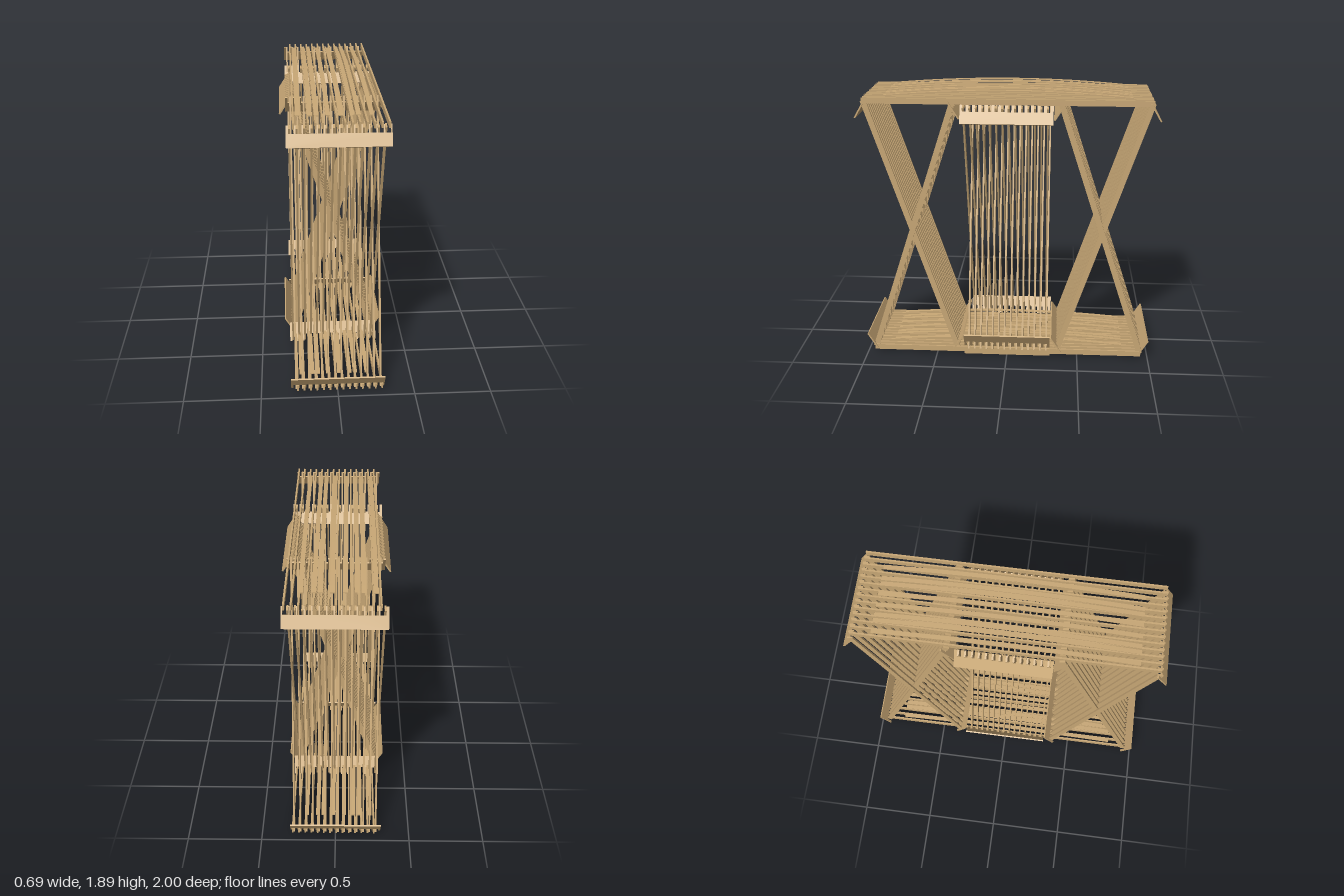
import * as THREE from 'three';

const wood = new THREE.MeshStandardMaterial({ color: 0xc9a876 });
const COUNT = 14, PITCH = 0.0425, START = -0.284, THICK = 0.0115;
const slot = (i, layer) => START + i * PITCH + layer * THICK;

// Box laid between two points of the side plane (z, y), thin along x
function slatGeometry(z0, y0, z1, y1, width) {
  const len = Math.hypot(z1 - z0, y1 - y0);
  const g = new THREE.BoxGeometry(THICK, width, len);
  g.rotateX(-Math.atan2(y1 - y0, z1 - z0));
  g.translate(0, (y0 + y1) / 2, (z0 + z1) / 2);
  return g;
}

// Row of identical parts, one per given x
function row(name, geometry, xs) {
  const group = new THREE.Group();
  group.name = name;
  xs.forEach((x, i) => {
    const m = new THREE.Mesh(geometry, wood);
    m.name = `${name}${i + 1}`;
    m.position.x = x;
    group.add(m);
  });
  return group;
}
const slots = layer => Array.from({ length: COUNT }, (_, i) => slot(i, layer));

// Comb board along x, its notched edge at (zi, yi) and its plain edge at (zo, yo)
function combBoard(name, zi, yi, zo, yo, layers) {
  const h = Math.hypot(zi - zo, yi - yo), half = 0.305, depth = 0.05;
  const s = new THREE.Shape();
  s.moveTo(-half, 0);
  s.lineTo(half, 0);
  s.lineTo(half, h);
  for (let i = COUNT - 1; i >= 0; i--) {
    const a = slot(i, 0) - THICK / 2, b = slot(i, layers - 1) + THICK / 2;
    s.lineTo(b, h);
    s.lineTo(b, h - depth);
    s.lineTo(a, h - depth);
    s.lineTo(a, h);
  }
  s.lineTo(-half, h);
  const g = new THREE.ExtrudeGeometry(s, { depth: 0.01, bevelEnabled: false });
  g.translate(0, 0, -0.005);
  const X = new THREE.Vector3(1, 0, 0);
  const Y = new THREE.Vector3(0, yi - yo, zi - zo).normalize();
  const Z = X.clone().cross(Y);
  g.applyMatrix4(new THREE.Matrix4().makeBasis(X, Y, Z).setPosition(0, yo, zo));
  const m = new THREE.Mesh(g, wood);
  m.name = name;
  return m;
}

// Thin strip bowed upwards along z
function bowedGeometry(y, rise) {
  const t = 0.006, w = 0.028, L = 0.82, N = 24;
  const s = new THREE.Shape();
  const f = z => y + rise * (1 - (z / L) ** 2);
  s.moveTo(-L, f(-L));
  for (let i = 1; i <= N; i++) s.lineTo(-L + 2 * L * i / N, f(-L + 2 * L * i / N));
  for (let i = N; i >= 0; i--) s.lineTo(-L + 2 * L * i / N, f(-L + 2 * L * i / N) - t);
  const g = new THREE.ExtrudeGeometry(s, { depth: w, bevelEnabled: false });
  g.translate(0, 0, -w / 2);
  g.rotateY(-Math.PI / 2);
  return g;
}

// Crossed slats between two stations, in alternating layers
function crossFrame(name, za, zb, yLow, yHigh) {
  const group = new THREE.Group();
  group.name = name;
  group.add(row('risingSlat', slatGeometry(za, yLow, zb, yHigh, 0.038), slots(0)));
  group.add(row('fallingSlat', slatGeometry(za, yHigh, zb, yLow, 0.038), slots(1)));
  return group;
}

export function createModel() {
  const model = new THREE.Group();
  model.name = 'slattedFrame';

  // Front and back crossed frames with comb boards at all corners
  for (const s of [1, -1]) {
    const end = s > 0 ? 'front' : 'back';
    model.add(crossFrame(`${end}CrossFrame`, 0.354 * s, 0.944 * s, 0.035, 1.83));
    model.add(combBoard(`${end}OuterTopComb`, 0.93 * s, 1.833, 0.997 * s, 1.72, 3));
    model.add(combBoard(`${end}OuterBottomComb`, 0.93 * s, 0.03, 0.997 * s, 0.14, 3));
    model.add(combBoard(`${end}InnerTopComb`, 0.385 * s, 1.833, 0.312 * s, 1.72, 3));
    model.add(combBoard(`${end}InnerBottomComb`, 0.385 * s, 0.03, 0.312 * s, 0.14, 3));
  }

  // Long bars joining both frames
  model.add(row('topBar', slatGeometry(-0.95, 1.834, 0.95, 1.834, 0.038), slots(2)));
  model.add(row('bottomBar', slatGeometry(-0.95, 0.035, 0.95, 0.035, 0.038), slots(2)));

  // Bowed strips lying over the bars
  const stripX = [-0.235, -0.163, -0.125, -0.058, 0.017, 0.085, 0.122, 0.2];
  model.add(row('topBowedStrip', bowedGeometry(1.855, 0.038), stripX));
  model.add(row('bottomBowedStrip', bowedGeometry(0.058, 0.036), stripX));

  // Short feet under the middle of the bars
  const foot = new THREE.BoxGeometry(THICK, 0.018, 0.61).translate(0, 0.009, 0);
  model.add(row('foot', foot, [0, 2, 4, 6, 8, 10, 13].map(i => slot(i, 2))));

  // Middle crossed frame, turned a quarter so it spans from side to side
  const middle = new THREE.Group();
  middle.name = 'middleCrossFrame';
  middle.add(crossFrame('middleSlats', -0.288, 0.288, 0.04, 1.8));
  for (const s of [1, -1]) {
    const side = s > 0 ? 'left' : 'right';
    middle.add(combBoard(`${side}TopComb`, 0.27 * s, 1.81, 0.342 * s, 1.697, 2));
    middle.add(combBoard(`${side}BottomComb`, 0.27 * s, 0.056, 0.335 * s, 0.166, 2));
  }
  middle.rotation.y = Math.PI / 2;
  model.add(middle);

  return model;
}
